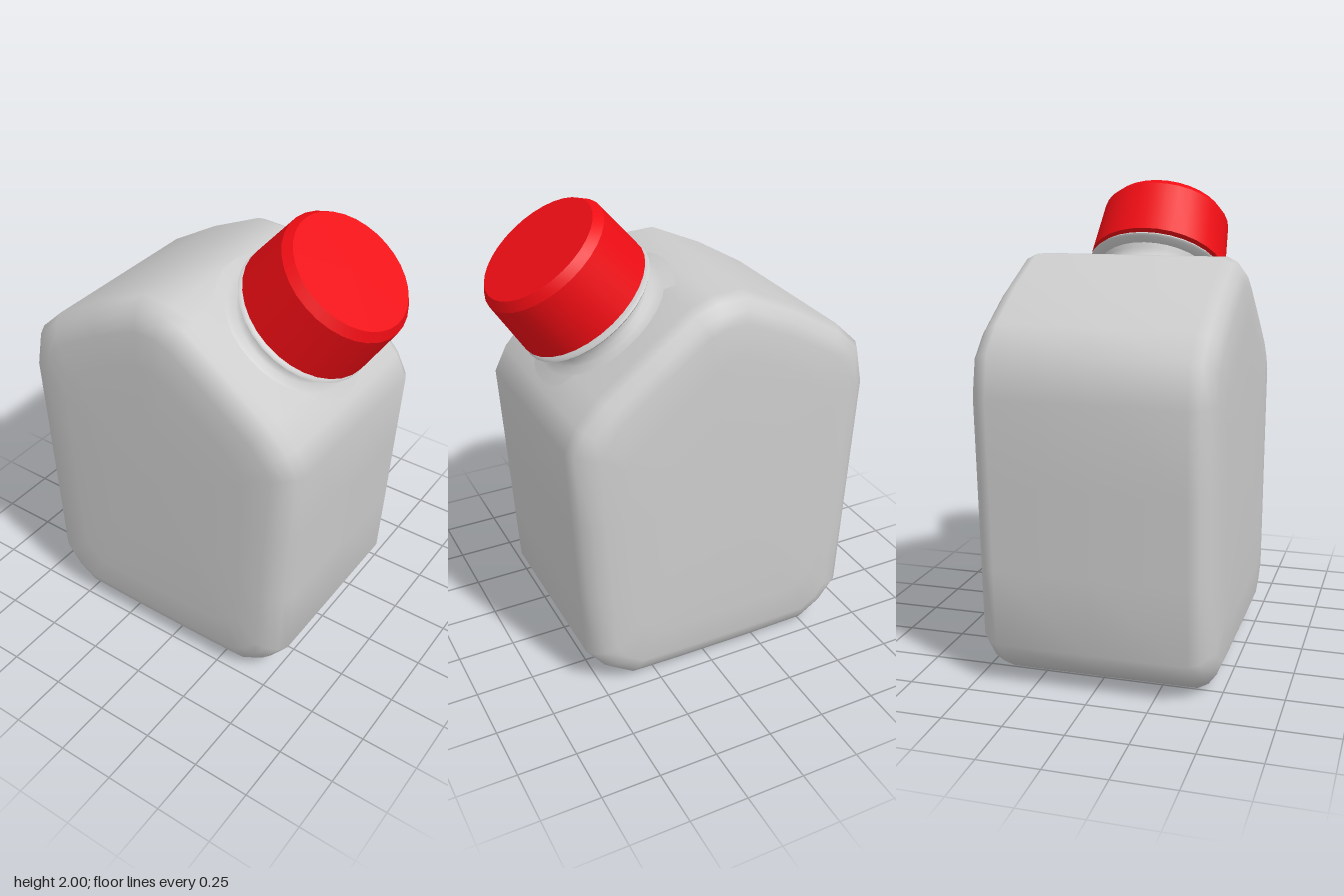
import * as THREE from 'three';
import { toCreasedNormals } from 'three/addons/utils/BufferGeometryUtils.js';

const grey = new THREE.MeshStandardMaterial({ color: 0xcccccc });
const red = new THREE.MeshStandardMaterial({ color: 0xee0d14 });

// Body outline in x, y, counter-clockwise
const outline = [
  [-0.5, 0.005], [-0.2, 0], [0.1, 0], [0.36, 0.005], [0.47, 0.075], [0.553, 0.18], [0.572, 0.5], [0.59, 0.83], [0.61, 1.17],
  [0.56, 1.27], [0.47, 1.37], [0.275, 1.52], [0.08, 1.665], [-0.02, 1.7], [-0.15, 1.705],
  [-0.38, 1.6], [-0.6, 1.47], [-0.705, 1.37], [-0.74, 1.2], [-0.723, 0.85], [-0.707, 0.5], [-0.692, 0.18], [-0.61, 0.075],
].map(([x, y]) => new THREE.Vector2(x, y));

// Moves every outline point inwards along its mitred normal
function inset(points, d) {
  const n = points.length;
  return points.map((p, i) => {
    const a = p.clone().sub(points[(i + n - 1) % n]).normalize();
    const b = points[(i + 1) % n].clone().sub(p).normalize();
    const na = new THREE.Vector2(-a.y, a.x), nb = new THREE.Vector2(-b.y, b.x);
    const m = na.clone().add(nb).normalize();
    return p.clone().addScaledVector(m, d / m.dot(na));
  });
}

// Lofts inset outlines along z: rounded edges, then gently crowned faces
function bodyGeometry() {
  const centre = new THREE.Vector2(-0.07, 0.85);
  const inner = inset(outline, 0.11);
  const shrink = (s) => inner.map((p) => centre.clone().lerp(p, s));
  const half = [
    [0.5, shrink(0.4)], [0.497, shrink(0.8)], [0.488, inner],
    [0.468, inset(outline, 0.06)], [0.438, inset(outline, 0.022)], [0.395, outline],
  ];
  const rings = [
    ...half.map(([z, pts]) => [-z, pts]),
    [0, outline],
    ...half.slice().reverse(),
  ];
  const n = outline.length, pos = [], index = [];
  for (const [z, pts] of rings) for (const p of pts) pos.push(p.x, p.y, z);
  for (let k = 0; k < rings.length - 1; k++) {
    for (let j = 0; j < n; j++) {
      const a = k * n + j, b = k * n + (j + 1) % n;
      index.push(a, b, b + n, a, b + n, a + n);
    }
  }
  const back = rings.length * n, front = back + 1, last = back - n;
  pos.push(centre.x, centre.y, -0.5, centre.x, centre.y, 0.5);
  for (let j = 0; j < n; j++) {
    const k = (j + 1) % n;
    index.push(k, j, back, last + j, last + k, front);
  }
  const g = new THREE.BufferGeometry();
  g.setAttribute('position', new THREE.Float32BufferAttribute(pos, 3));
  g.setIndex(index);
  g.computeVertexNormals();
  return g;
}

// Turned part from [radius, height] pairs, keeping hard edges
function turned(name, profile, material, crease) {
  const g = new THREE.LatheGeometry(profile.map(([r, y]) => new THREE.Vector2(r, y)), 32);
  const mesh = new THREE.Mesh(toCreasedNormals(g, crease), material);
  mesh.name = name;
  return mesh;
}

export function createModel() {
  const model = new THREE.Group();
  model.name = 'canister';

  const body = new THREE.Mesh(bodyGeometry(), grey);
  body.name = 'body';
  model.add(body);

  // Tilted spout; its origin is the centre of the cap's lower rim
  const spout = new THREE.Group();
  spout.name = 'spout';
  spout.position.set(0.355, 1.62, 0);
  spout.rotation.z = -0.653;
  model.add(spout);

  // Neck flares out into the shoulder
  spout.add(turned('neck', [
    [0.35, -0.145], [0.3, -0.129], [0.265, -0.115], [0.25, -0.095], [0.25, -0.06], [0.265, -0.04], [0.265, 0.05],
  ], grey, 0.9));

  // Thin collar under the cap
  spout.add(turned('collar', [
    [0.26, -0.045], [0.3, -0.036], [0.308, -0.028], [0.3, -0.018], [0.26, -0.014],
  ], grey, 0.9));

  // Screw cap with a chamfered top
  spout.add(turned('cap', [
    [0.255, 0.004], [0.305, 0], [0.287, 0.25], [0.26, 0.285], [0, 0.285],
  ], red, 0.5));

  return model;
}
